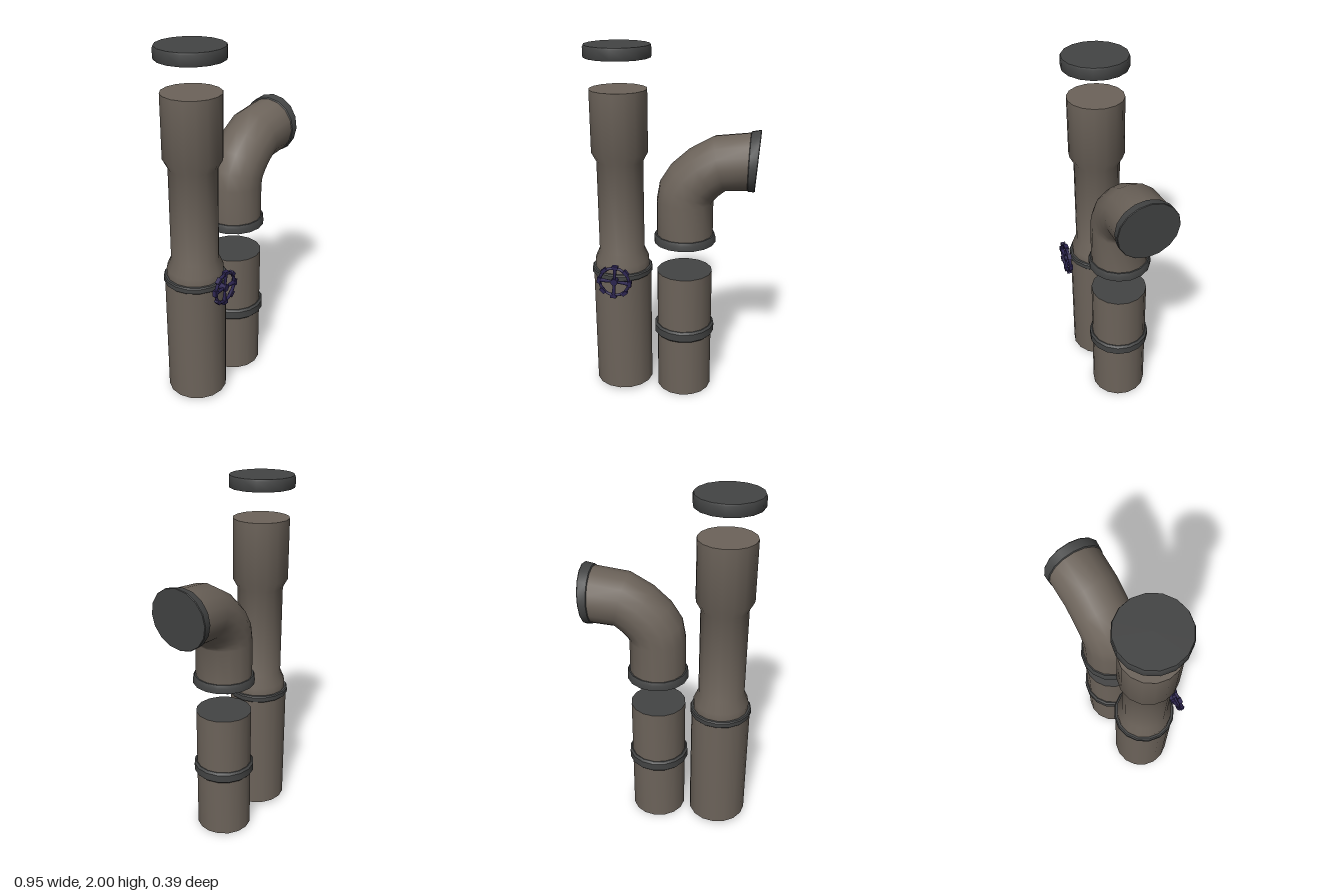
import * as THREE from 'three';
import { toCreasedNormals } from 'three/addons/utils/BufferGeometryUtils.js';

const SIDES = 16;
const CREASE = 0.62;

const material = (name, color) => {
  const m = new THREE.MeshStandardMaterial({ color });
  m.name = name;
  return m;
};

// Turned part from [radius, height] pairs, listed bottom to top
function turned(name, profile, mat) {
  const geo = new THREE.LatheGeometry(profile.map(([r, y]) => new THREE.Vector2(r, y)), SIDES);
  const mesh = new THREE.Mesh(toCreasedNormals(geo, CREASE), mat);
  mesh.name = name;
  return mesh;
}

// Bent tube; each section is [outerX, outerY, innerX, innerY, halfDepth]
function bentTube(name, sections, mat, capEnd) {
  const pos = [], index = [];
  for (const [ox, oy, ix, iy, rz] of sections) {
    const cx = (ox + ix) / 2, cy = (oy + iy) / 2;
    for (let j = 0; j < SIDES; j++) {
      const t = (j / SIDES) * Math.PI * 2;
      pos.push(cx + (ox - cx) * Math.cos(t), cy + (oy - cy) * Math.cos(t), rz * Math.sin(t));
    }
  }
  for (let i = 0; i < sections.length - 1; i++) {
    for (let j = 0; j < SIDES; j++) {
      const k = (j + 1) % SIDES;
      const a = i * SIDES + j, b = i * SIDES + k;
      index.push(a, b, a + SIDES, b, b + SIDES, a + SIDES);
    }
  }
  if (capEnd) {
    const base = (sections.length - 1) * SIDES;
    for (let j = 1; j < SIDES - 1; j++) index.push(base, base + j, base + j + 1);
  }
  const geo = new THREE.BufferGeometry();
  geo.setAttribute('position', new THREE.Float32BufferAttribute(pos, 3));
  geo.setIndex(index);
  const mesh = new THREE.Mesh(toCreasedNormals(geo, CREASE), mat);
  mesh.name = name;
  return mesh;
}

// Raised band with bevelled edges
const band = (name, r, y0, y1, inner, bevel, mat) => turned(name, [
  [inner, y0], [r - bevel, y0], [r, y0 + bevel], [r, y1 - bevel], [r - bevel, y1], [inner, y1],
], mat);

// Valve wheel facing +z
function makeValve(mat) {
  const valve = new THREE.Group();
  valve.name = 'valveWheel';
  const add = (name, geo) => {
    const m = new THREE.Mesh(geo, mat);
    m.name = name;
    valve.add(m);
    return m;
  };
  add('rim', new THREE.TorusGeometry(0.083, 0.009, 6, 16));
  const hub = add('hub', new THREE.CylinderGeometry(0.02, 0.02, 0.024, 10));
  hub.rotation.x = Math.PI / 2;
  const stem = add('stem', new THREE.CylinderGeometry(0.017, 0.017, 0.06, 10));
  stem.rotation.x = Math.PI / 2;
  stem.position.z = -0.03;
  for (let i = 0; i < 4; i++) {
    const a = (i * Math.PI) / 2 - 0.08;
    const spoke = add('spoke', new THREE.CylinderGeometry(0.012, 0.007, 0.075, 6));
    spoke.position.set(Math.cos(a) * 0.045, Math.sin(a) * 0.045, 0);
    spoke.rotation.z = a - Math.PI / 2;
  }
  for (let i = 0; i < 8; i++) {
    const a = (i * Math.PI) / 4 - 0.08;
    const grip = add('grip', new THREE.BoxGeometry(0.02, 0.034, 0.023));
    grip.position.set(Math.cos(a) * 0.087, Math.sin(a) * 0.087, 0);
    grip.rotation.z = a;
  }
  return valve;
}

export function createModel() {
  const brown = material('pipe brown', 0x6c635a);
  const grey = material('fitting grey', 0x434444);
  const purple = material('valve purple', 0x2c2450);
  const model = new THREE.Group();
  model.name = 'pipes';

  // Tall pipe with narrowed neck, joint ring, floating lid and valve
  const tall = new THREE.Group();
  tall.name = 'tallPipe';
  tall.position.set(-0.295, 0, -0.016);
  tall.add(turned('tallPipeBody', [
    [0, 0.02], [0.167, 0.02], [0.167, 0.74], [0.156, 0.75], [0.156, 0.8], [0.13, 0.86],
    [0.13, 1.38], [0.157, 1.43], [0.157, 1.77], [0, 1.77],
  ], brown));
  tall.add(band('tallPipeRing', 0.174, 0.72, 0.757, 0.15, 0.006, grey));
  tall.add(turned('lid', [
    [0, 1.935], [0.178, 1.935], [0.181, 1.942], [0.181, 1.99], [0.177, 2], [0, 2],
  ], grey));
  const valve = makeValve(purple);
  valve.position.set(-0.006, 0.735, 0.202);
  tall.add(valve);
  model.add(tall);

  // Short pipe with dark ends and a joint ring
  const short = new THREE.Group();
  short.name = 'shortPipe';
  short.position.set(0.066, 0, -0.014);
  short.add(turned('shortPipeBody', [[0.157, 0], [0.157, 0.745]], brown));
  short.add(turned('shortPipeBottom', [[0, 0], [0.157, 0]], grey));
  short.add(turned('shortPipeTop', [[0.157, 0.745], [0, 0.745]], grey));
  short.add(band('shortPipeRing', 0.173, 0.355, 0.42, 0.15, 0.011, grey));
  model.add(short);

  // Elbow pipe with a collar at each mouth
  const elbow = new THREE.Group();
  elbow.name = 'elbowPipe';
  elbow.position.z = -0.016;
  elbow.add(bentTube('elbowBody', [
    [-0.091, 0.96, 0.223, 0.96, 0.158],
    [-0.091, 1.17, 0.223, 1.165, 0.158],
    [-0.073, 1.27, 0.227, 1.173, 0.158],
    [-0.01, 1.37, 0.238, 1.184, 0.158],
    [0.09, 1.46, 0.257, 1.205, 0.158],
    [0.22, 1.532, 0.293, 1.236, 0.158],
    [0.425, 1.556, 0.408, 1.243, 0.159],
  ], brown, false));
  elbow.add(bentTube('elbowEndCollar', [
    [0.413, 1.552, 0.405, 1.245, 0.156],
    [0.418, 1.562, 0.411, 1.238, 0.164],
    [0.467, 1.571, 0.443, 1.236, 0.166],
    [0.471, 1.569, 0.447, 1.239, 0.163],
  ], grey, true));
  const collar = turned('elbowLowerCollar', [
    [0, 0.925], [0.173, 0.925], [0.173, 0.955], [0.165, 0.972], [0.15, 0.972],
  ], grey);
  collar.position.x = 0.066;
  elbow.add(collar);
  model.add(elbow);

  return model;
}
